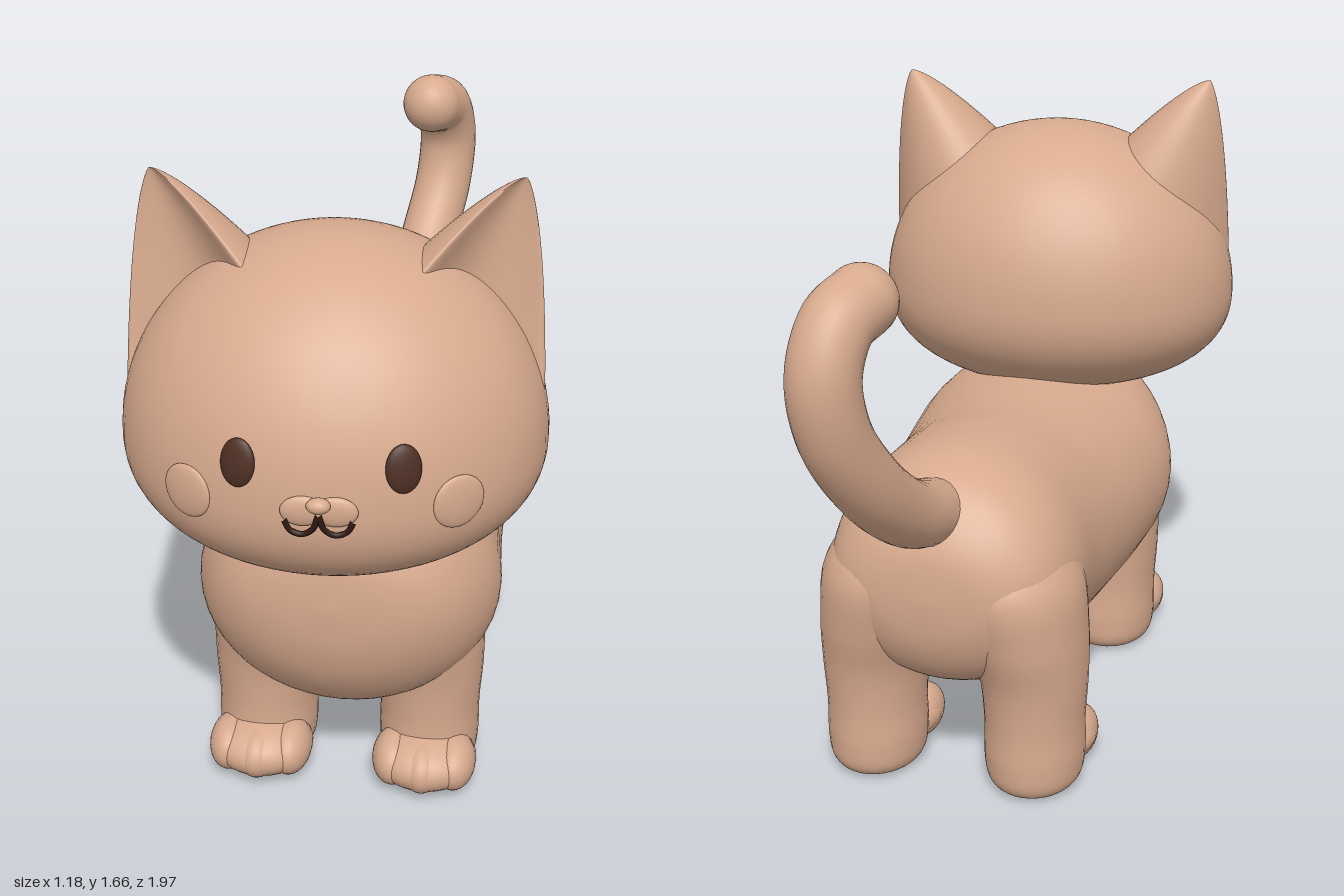
import * as THREE from 'three';
import { mergeVertices } from 'three/addons/utils/BufferGeometryUtils.js';

const mat = (name, color) => Object.assign(new THREE.MeshStandardMaterial({ color }), { name });

// Catmull-Rom interpolation of rows of numbers
function smooth(rows, k = 6) {
  const out = [], n = rows.length;
  for (let i = 0; i < n - 1; i++) {
    const p = rows[Math.max(i - 1, 0)], q = rows[i], r = rows[i + 1], s = rows[Math.min(i + 2, n - 1)];
    for (let j = 0; j < k; j++) {
      const u = j / k;
      out.push(q.map((_, c) => {
        const cubic = 3 * (q[c] - r[c]) + s[c] - p[c];
        const square = 2 * p[c] - 5 * q[c] + 4 * r[c] - s[c];
        return q[c] + 0.5 * u * (r[c] - p[c] + u * (square + u * cubic));
      }));
    }
  }
  out.push(rows[n - 1]);
  return out;
}

// Skin a list of closed rings (arrays of [x, y, z]) with outward faces
function loft(rings) {
  const n = rings[0].length, pos = rings.flat(), idx = [];
  for (let i = 0; i < rings.length - 1; i++) {
    for (let j = 0; j < n; j++) {
      const a = i * n + j, b = i * n + (j + 1) % n;
      idx.push(a, b, b + n, a, b + n, a + n);
    }
  }
  let volume = 0;
  const [A, B, C] = [new THREE.Vector3(), new THREE.Vector3(), new THREE.Vector3()];
  for (let i = 0; i < idx.length; i += 3) {
    A.fromArray(pos[idx[i]]);
    B.fromArray(pos[idx[i + 1]]);
    C.fromArray(pos[idx[i + 2]]);
    volume += A.dot(B.cross(C));
  }
  if (volume < 0) idx.reverse();
  const g = new THREE.BufferGeometry();
  g.setAttribute('position', new THREE.Float32BufferAttribute(pos.flat(), 3));
  g.setIndex(idx);
  const m = mergeVertices(g, 1e-4);
  m.computeVertexNormals();
  return m;
}

const ring = (n, f) => Array.from({ length: n }, (_, j) => f(j / n * Math.PI * 2));

// Head: wide dome with a flatter, fuller underside
const HX = 0.504, UP = 0.48, DOWN = 0.287, HZ = 0.43, HY = 1.05, P = 2.3, TILT = 0.06;

function headGeometry() {
  let g = new THREE.SphereGeometry(1, 64, 48);
  g.deleteAttribute('uv');
  g.deleteAttribute('normal');
  g = mergeVertices(g, 1e-4);
  const p = g.attributes.position;
  for (let i = 0; i < p.count; i++) {
    let x = p.getX(i), y = p.getY(i), z = p.getZ(i);
    if (y < 0) {
      const s = Math.pow(Math.pow(Math.hypot(x, z), P) + Math.pow(-y, P), -1 / P);
      x *= s; y *= s; z *= s;
    }
    p.setXYZ(i, x * HX, HY + y * (y > 0 ? UP : DOWN) - TILT * z * HZ, z * HZ);
  }
  g.computeVertexNormals();
  return g;
}

// Depth of the face surface at (x, y)
function faceZ(x, y) {
  let z = 0.4;
  for (let i = 0; i < 4; i++) {
    const d = y - HY + TILT * z, e = d > 0 ? 2 : P;
    const rho = Math.pow(1 - Math.pow(Math.abs(d) / (d > 0 ? UP : DOWN), e), 1 / e);
    z = HZ * Math.sqrt(Math.max(0, rho * rho - (x / HX) ** 2));
  }
  return z;
}

// Ear: crescent sections shrinking towards a rounded tip
function earGeometry(side) {
  const rings = [];
  for (let i = 0; i <= 24; i++) {
    const t = 1 - 1.2 * Math.pow(1 - i / 24, 1.4);
    const h = Math.pow(1 - t, 0.75), d = 0.28 * Math.pow(1 - t, 0.8);
    rings.push(ring(40, a => {
      const s = Math.abs(Math.sin(a)), u = h * Math.cos(a);
      const w = d * (a <= Math.PI ? s : 0.55 * s * s - 0.25 * s);
      return [
        side * (0.3175 + 0.1075 * t + 0.1675 * u - 0.4 * w),
        1.32 + 0.34 * t - 0.1 * u,
        0.06 - 0.09 * t - 0.05 * u - 0.9 * w,
      ];
    }));
  }
  return loft(rings);
}

export function createModel() {
  const fur = mat('fur', 0xd8aa8e), eyeBrown = mat('eyeBrown', 0x4c2e22), mouthBrown = mat('mouthBrown', 0x2e1811);
  const model = new THREE.Group();
  model.name = 'cat';
  const cat = new THREE.Group();
  cat.name = 'bodyGroup';
  cat.position.x = 0.095;
  cat.rotation.y = THREE.MathUtils.degToRad(-18.5);
  model.add(cat);

  const add = (parent, name, geometry, material = fur) => {
    const m = new THREE.Mesh(geometry, material);
    m.name = name;
    parent.add(m);
    return m;
  };
  const ball = new THREE.SphereGeometry(1, 32, 20);
  const blob = (parent, name, pos, size, material) => {
    const m = add(parent, name, ball, material);
    m.position.set(...pos);
    m.scale.set(...size);
    return m;
  };

  // Torso: z, bottom, top, half width
  const torso = smooth([
    [0.745, 0.63, 0.63, 0], [0.73, 0.5, 0.76, 0.15], [0.68, 0.38, 0.84, 0.26], [0.58, 0.27, 0.87, 0.34],
    [0.43, 0.21, 0.87, 0.385], [0.25, 0.2, 0.86, 0.375], [0, 0.2, 0.865, 0.34], [-0.2, 0.22, 0.89, 0.32],
    [-0.38, 0.25, 0.895, 0.322], [-0.5, 0.3, 0.86, 0.3], [-0.58, 0.36, 0.79, 0.25],
    [-0.63, 0.46, 0.7, 0.15], [-0.645, 0.58, 0.58, 0],
  ]);
  const torsoRings = torso.map(([z, lo, hi, w]) => ring(48, a =>
    [w * Math.cos(a), (lo + hi) / 2 + (hi - lo) / 2 * Math.sin(a), z]));
  add(cat, 'torso', loft(torsoRings));

  // Legs: y, centre x, half width, half depth
  const legRows = smooth([
    [0.005, 0.215, 0, 0], [0.008, 0.215, 0.085, 0.1], [0.035, 0.215, 0.12, 0.14], [0.1, 0.215, 0.13, 0.148],
    [0.2, 0.215, 0.13, 0.145], [0.32, 0.212, 0.14, 0.155], [0.45, 0.19, 0.16, 0.185],
    [0.6, 0.155, 0.175, 0.195], [0.72, 0.14, 0.1, 0.1], [0.76, 0.14, 0, 0],
  ]);
  for (const [end, z] of [['front', 0.415], ['hind', -0.43]]) {
    for (const side of [1, -1]) {
      const leg = new THREE.Group();
      leg.name = end + (side > 0 ? 'LeftLeg' : 'RightLeg');
      leg.position.z = z;
      cat.add(leg);
      const legRings = legRows.map(([y, x, rx, rz]) => ring(36, a =>
        [side * x + rx * Math.cos(a), y, rz * Math.sin(a)]));
      add(leg, 'leg', loft(legRings));
      blob(leg, 'paw', [side * 0.215, 0.083, 0.112], [0.135, 0.076, 0.125]);
      for (const t of [-1, 0, 1]) {
        blob(leg, 'toe', [side * 0.215 + t * 0.078, 0.083, 0.152 - 0.025 * Math.abs(t)], [0.056, 0.069, 0.09]);
      }
    }
  }

  // Tail with a curled, rounded end
  const tail = new THREE.Group();
  tail.name = 'tail';
  model.add(tail);
  const path = new THREE.CatmullRomCurve3([
    [0.27, 0.77, -0.48], [0.34, 0.84, -0.64], [0.42, 0.98, -0.8], [0.485, 1.14, -0.89],
    [0.5, 1.28, -0.908], [0.47, 1.38, -0.865], [0.42, 1.41, -0.795],
  ].map(p => new THREE.Vector3(...p)));
  add(tail, 'tailCurve', new THREE.TubeGeometry(path, 64, 0.084, 28));
  blob(tail, 'tailTip', path.getPoint(1).toArray(), [0.084, 0.084, 0.084]);

  // Head, ears and face
  const head = new THREE.Group();
  head.name = 'head';
  head.position.set(-0.015, 0, 0.56);
  head.rotation.y = THREE.MathUtils.degToRad(4);
  cat.add(head);
  add(head, 'skull', headGeometry());

  for (const side of [1, -1]) {
    const label = side > 0 ? 'left' : 'right';
    add(head, label + 'Ear', earGeometry(side));
    const eye = blob(head, label + 'Eye', [side * 0.18, 1.14, faceZ(0.18, 1.14) + 0.002], [0.041, 0.056, 0.014], eyeBrown);
    eye.rotation.set(-0.17, side * 0.33, 0, 'YXZ');
    const cheek = blob(head, label + 'Cheek', [side * 0.3, 1.04, faceZ(0.3, 1.04) - 0.003], [0.064, 0.064, 0.014]);
    cheek.rotation.y = side * 0.56;
    blob(head, label + 'Muzzle', [side * 0.036, 1.048, faceZ(0.036, 1.048)], [0.05, 0.036, 0.014]);
    // Half of the curved mouth
    const lipPoints = [[0.076, 1.03], [0.062, 1.005], [0.036, 0.997], [0.012, 1.012], [0, 1.045]]
      .map(([x, y]) => new THREE.Vector3(side * x, y, faceZ(x, y) + 0.012));
    const lip = new THREE.CatmullRomCurve3(lipPoints);
    add(head, label + 'Mouth', new THREE.TubeGeometry(lip, 24, 0.007, 8), mouthBrown);
  }
  blob(head, 'nose', [0, 1.07, faceZ(0, 1.07) + 0.016], [0.027, 0.018, 0.02]);

  return model;
}
